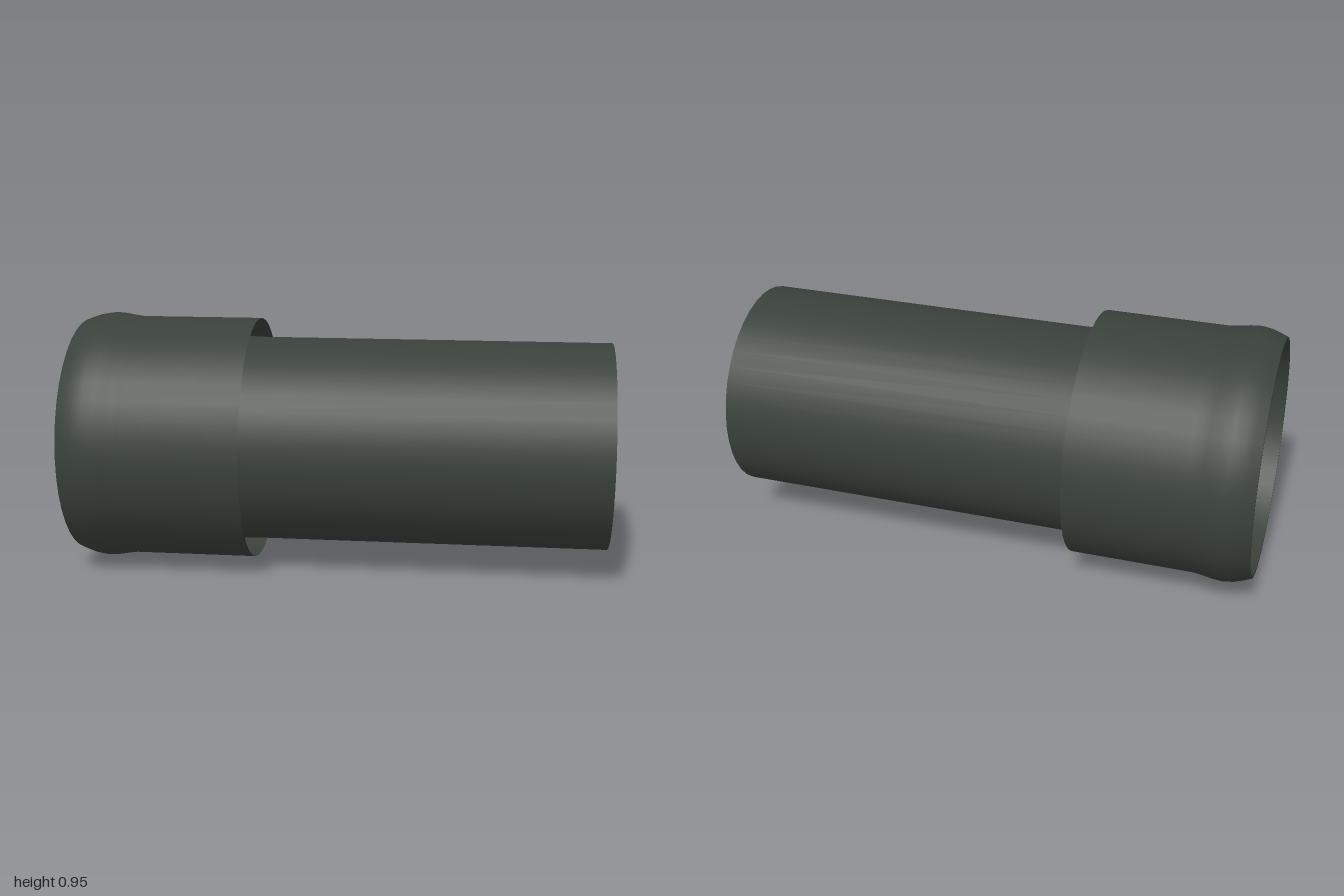
import * as THREE from 'three';

const SIDES = 40;
const AXIS_Y = 0.473;

export function createModel() {
  const group = new THREE.Group();
  const plastic = new THREE.MeshStandardMaterial({ color: 0x3a413a, side: THREE.DoubleSide });
  plastic.name = 'dark grey green';

  // Turns a profile of [x, radius] pairs around the horizontal axis
  const turned = (name, profile) => {
    const points = profile.map(([x, r]) => new THREE.Vector2(r, x));
    const geometry = new THREE.LatheGeometry(points, SIDES);
    geometry.rotateZ(-Math.PI / 2);
    const mesh = new THREE.Mesh(geometry, plastic);
    mesh.name = name;
    mesh.position.y = AXIS_Y;
    group.add(mesh);
  };

  // Straight pipe with its closed far end
  turned('pipe', [[-0.33, 0.387], [1, 0.387]]);
  turned('pipeEnd', [[1, 0.387], [1, 0]]);

  // Socket wall widening from the pipe to the mouth
  turned('socketWall', [[-1, 0.433], [-0.33, 0.387]]);
  turned('socketRim', [[-1, 0.445], [-1, 0.433]]);

  // Outer collar with a rounded bead at the mouth, open at the back
  turned('collar', [
    [-1, 0.445], [-0.97, 0.457], [-0.94, 0.467], [-0.9, 0.473],
    [-0.86, 0.47], [-0.82, 0.463], [-0.79, 0.459], [-0.76, 0.459], [-0.327, 0.459],
  ]);

  return group;
}
